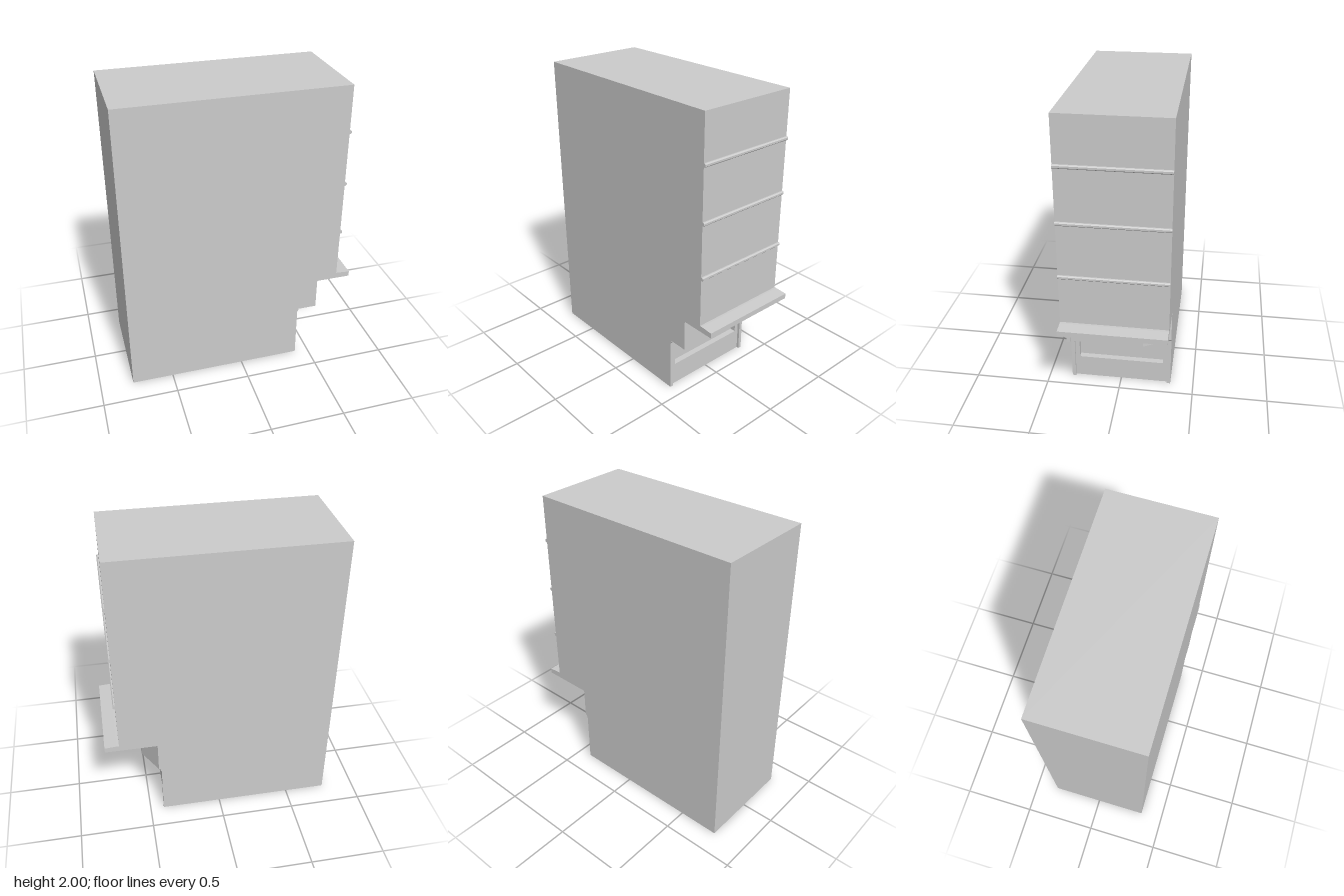
import * as THREE from 'three';

const LEFT = -0.778;   // rear wall of the cabinet
const HALF = 0.343;    // half of the cabinet's width along z
const POST = 0.024;    // thickness of the side posts

const material = new THREE.MeshStandardMaterial({ color: 0xcccccc, flatShading: true });

const shapeFrom = (points) => new THREE.Shape(points.map(([x, y]) => new THREE.Vector2(x, y)));

const extrude = (shape, depth) =>
  new THREE.ExtrudeGeometry(shape, { depth, bevelEnabled: false });

// Side profile (x, y) swept across the full width
const acrossWidth = (points) => extrude(shapeFrom(points), 2 * HALF).translate(0, 0, -HALF);

// Box given by its lower and upper limits
function boxBetween(x0, x1, y0, y1, z0, z1) {
  return new THREE.BoxGeometry(x1 - x0, y1 - y0, z1 - z0)
    .translate((x0 + x1) / 2, (y0 + y1) / 2, (z0 + z1) / 2);
}

export function createModel() {
  const model = new THREE.Group();
  const add = (name, geometry) => {
    const mesh = new THREE.Mesh(geometry, material);
    mesh.name = name;
    model.add(mesh);
  };

  // Tall upper body with the projecting shelf at its foot
  add('upperBody', acrossWidth([
    [LEFT, 0.6], [0.776, 0.6], [0.776, 0.635], [0.695, 0.641], [0.68, 0.641], [0.68, 2], [LEFT, 2],
  ]));

  // Rounded horizontal rails on the upper face
  for (const y of [0.972, 1.334, 1.693]) {
    add('rail', acrossWidth([
      [0.675, y - 0.012], [0.688, y - 0.012], [0.694, y - 0.006],
      [0.694, y + 0.006], [0.688, y + 0.012], [0.675, y + 0.012],
    ]));
  }

  // Middle body: plan outline (x, -z) with a front post and a slanted rear corner
  const plan = [
    [LEFT, -HALF], [0.542, -HALF], [0.542, -HALF + POST], [0.527, -HALF + POST],
    [0.527, 0.165], [0.425, HALF], [LEFT, HALF],
  ];
  add('middleBody', extrude(shapeFrom(plan), 0.215).rotateX(-Math.PI / 2).translate(0, 0.385, 0));

  // Lower body, whose end face is the floor of the recess
  add('lowerBody', boxBetween(LEFT, 0.35, 0, 0.385, -HALF, HALF));

  // Framed panel with a rectangular recess
  const inner = HALF - POST;
  const frame = shapeFrom([[-inner, 0], [inner, 0], [inner, 0.36], [-inner, 0.36]]);
  frame.holes.push(shapeFrom([[-0.289, 0.155], [-0.289, 0.325], [0.289, 0.325], [0.289, 0.155]]));
  add('lowerPanel', extrude(frame, 0.04).rotateY(Math.PI / 2).translate(0.35, 0, 0));

  // Posts on both sides of the panel
  for (const side of [-1, 1]) {
    const z = side * (HALF - POST / 2);
    add('post', boxBetween(0.35, 0.407, 0, 0.36, z - POST / 2, z + POST / 2));
  }

  // Cap over the panel and posts
  add('cap', acrossWidth([[0.35, 0.36], [0.407, 0.36], [0.414, 0.372], [0.414, 0.385], [0.35, 0.385]]));

  return model;
}
